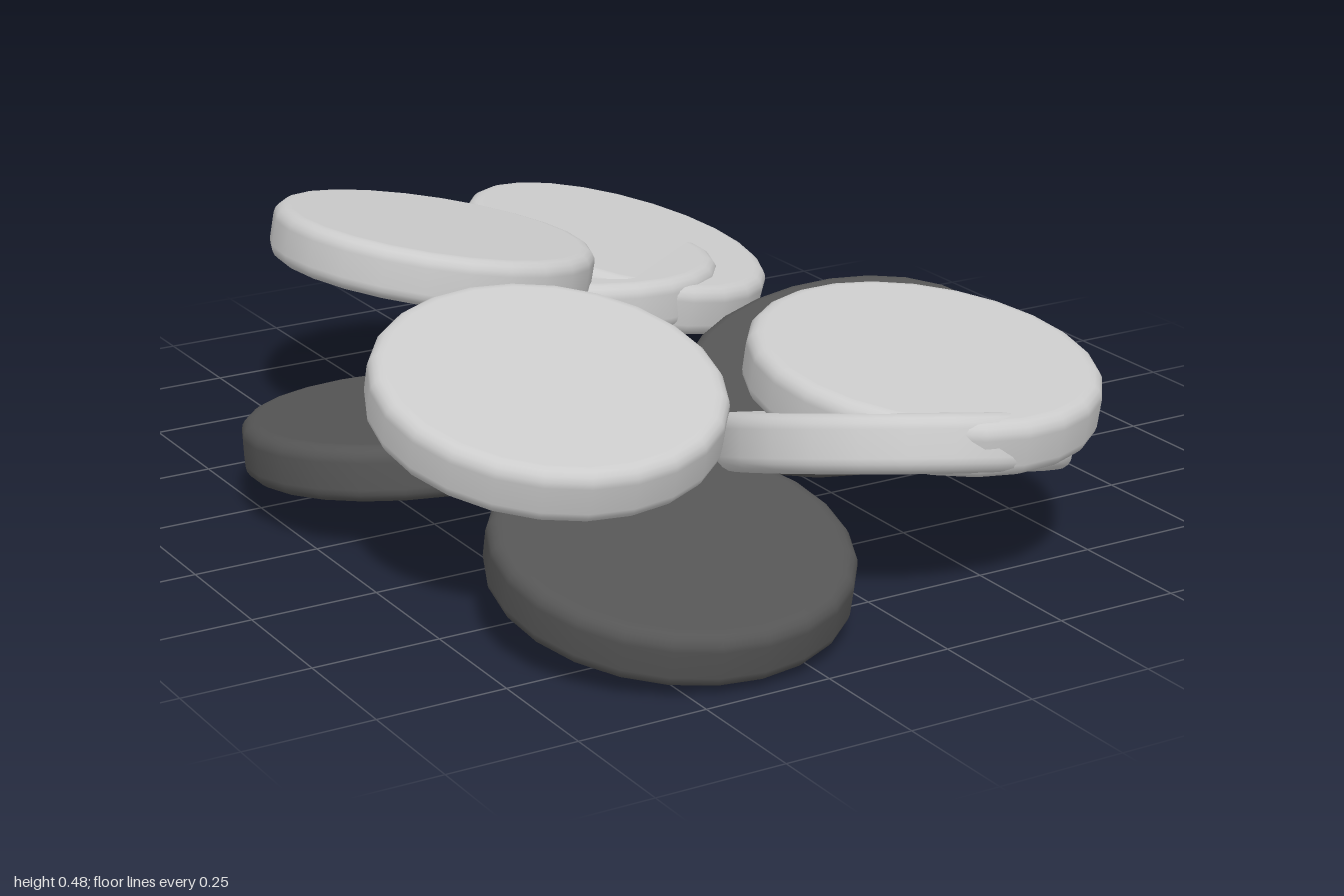
import * as THREE from 'three';

const R = 0.333, H = 0.054, B = 0.028;

// Rounded-edge disc profile, from bottom centre to top centre
function discGeometry() {
  const pts = [new THREE.Vector2(0, -H), new THREE.Vector2(R - B - 0.004, -H)];
  for (const s of [-1, 1]) {
    for (let i = 0; i <= 4; i++) {
      const t = (s < 0 ? i - 4 : i) * Math.PI / 8;
      pts.push(new THREE.Vector2(R - B + B * Math.cos(t), s * (H - B) + B * Math.sin(t)));
    }
  }
  pts.push(new THREE.Vector2(R - B - 0.004, H), new THREE.Vector2(0, H));
  return new THREE.LatheGeometry(pts, 24);
}

export function createModel() {
  const group = new THREE.Group();
  group.name = 'scatteredDiscs';
  const geometry = discGeometry();
  const light = new THREE.MeshStandardMaterial({ color: 0xcccccc });
  const dark = new THREE.MeshStandardMaterial({ color: 0x555555 });
  const up = new THREE.Vector3(0, 1, 0);

  // name, material, centre x y z, rise of the disc along x and along z
  const discs = [
    ['darkDiscBack', dark, -0.47, 0.14, -0.14, 0, 0.12],
    ['darkDiscFront', dark, -0.37, 0.132, 0.665, 0, -0.22],
    ['darkDiscSide', dark, 0.468, 0.127, -0.035, 0.23, -0.09],
    ['lightDiscBackRight', light, -0.213, 0.365, -0.545, -0.2, 0.01],
    ['lightDiscBackUpper', light, 0.285, 0.24, -0.665, -0.22, -0.12],
    ['lightDiscBackLower', light, 0.148, 0.226, -0.652, -0.085, 0.03],
    ['lightDiscFrontRight', light, -0.44, 0.352, 0.345, 0, -0.27],
    ['lightDiscFrontUpper', light, 0.207, 0.36, 0.61, -0.06, -0.14],
    ['lightDiscFrontLower', light, 0.142, 0.245, 0.612, -0.17, 0.3],
  ];
  for (const [name, material, x, y, z, a, b] of discs) {
    const disc = new THREE.Mesh(geometry, material);
    disc.name = name;
    disc.position.set(x, y, z);
    disc.quaternion.setFromUnitVectors(up, new THREE.Vector3(-a, 1, -b).normalize());
    group.add(disc);
  }
  return group;
}
